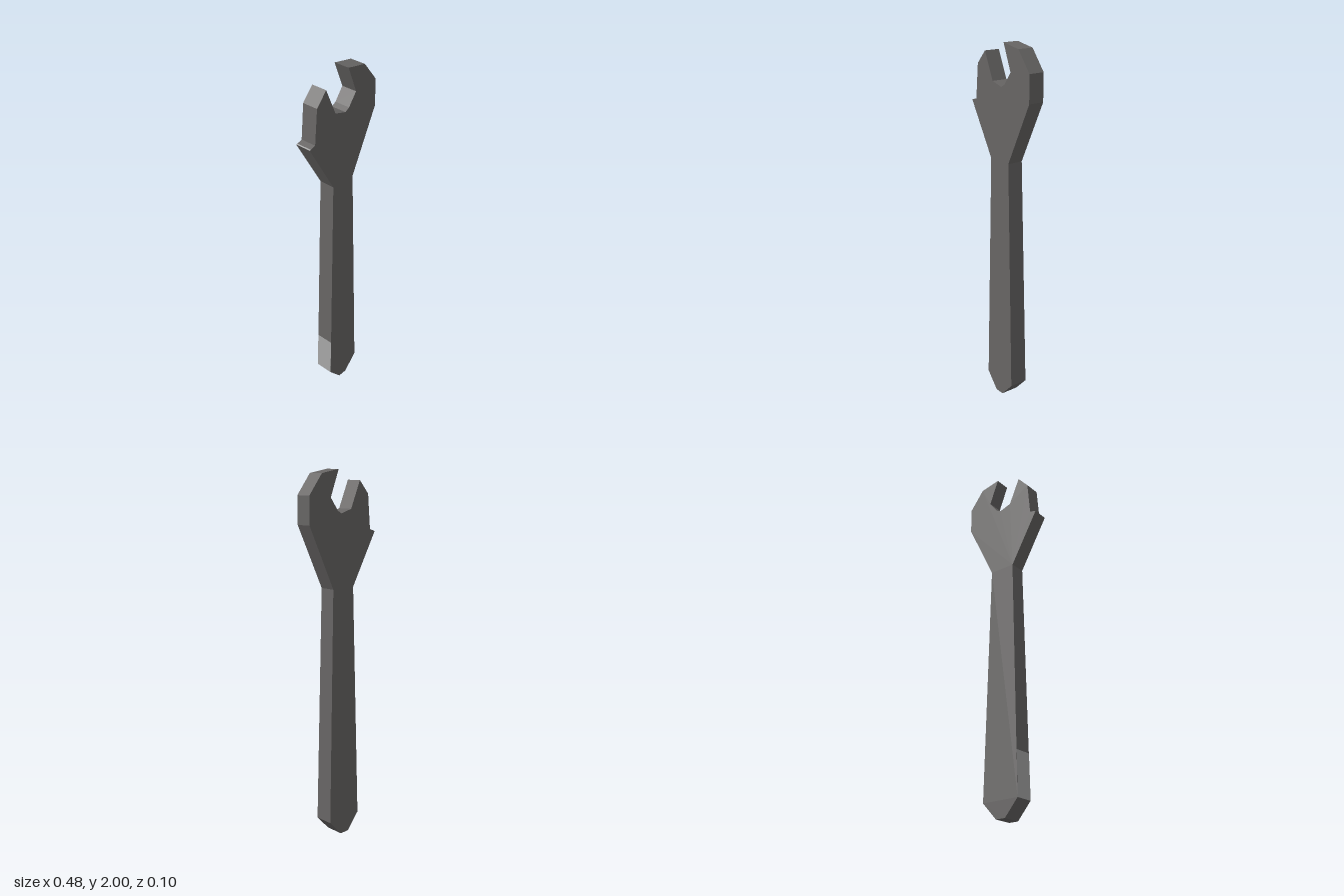
import * as THREE from 'three';

const neckY = 1.39;
const gripY = 0.09;
// 0 at the neck, 1 at the thick end of the handle
const taper = (y) => THREE.MathUtils.clamp((neckY - y) / (neckY - gripY), 0, 1);
const zBack = (y) => -0.043 - 0.01 * taper(y);
const zFront = (y) => 0.045 + 0.005 * taper(y);

// Extrudes an outline into a plate whose thickness follows the taper
function plate(name, outline, material) {
  const shape = new THREE.Shape(outline.map(([x, y]) => new THREE.Vector2(x, y)));
  const geometry = new THREE.ExtrudeGeometry(shape, { depth: 1, bevelEnabled: false });
  const p = geometry.attributes.position;
  for (let i = 0; i < p.count; i++) {
    p.setZ(i, p.getZ(i) > 0.5 ? zFront(p.getY(i)) : zBack(p.getY(i)));
  }
  geometry.computeVertexNormals();
  const mesh = new THREE.Mesh(geometry, material);
  mesh.name = name;
  return mesh;
}

// Thin painted face on the rim, between two points taken counter-clockwise
function rimFace(name, [ax, ay], [bx, by], material) {
  const out = new THREE.Vector2(by - ay, ax - bx).setLength(0.001);
  const corner = (x, y, z) => [x + out.x, y + out.y, z(y)];
  const geometry = new THREE.BufferGeometry();
  geometry.setAttribute('position', new THREE.Float32BufferAttribute([
    ...corner(ax, ay, zBack), ...corner(bx, by, zBack),
    ...corner(bx, by, zFront), ...corner(ax, ay, zFront),
  ], 3));
  geometry.setIndex([0, 1, 2, 0, 2, 3]);
  geometry.computeVertexNormals();
  const mesh = new THREE.Mesh(geometry, material);
  mesh.name = name;
  return mesh;
}

export function createModel() {
  const group = new THREE.Group();
  group.name = 'wrench';
  const steel = new THREE.MeshStandardMaterial({ color: 0x676564, flatShading: true });
  steel.name = 'dark steel';
  const bare = new THREE.MeshStandardMaterial({ color: 0xa6a6a6, flatShading: true });
  bare.name = 'light steel';

  // Rounded-off butt below the grip
  group.add(plate('handleEnd', [
    [-0.03, 0], [0.026, 0], [0.109, gripY], [-0.108, gripY],
  ], steel));

  // Handle narrowing and thinning towards the neck
  group.add(plate('handle', [
    [-0.108, gripY], [0.109, gripY], [0.073, neckY], [-0.074, neckY],
  ], steel));

  // Open jaw with a small spur on its right side
  group.add(plate('jaw', [
    [-0.074, neckY], [0.073, neckY], [0.237, 1.727], [0.237, 1.873],
    [0.151, 1.98], [0.034, 2], [0.09, 1.86], [0.04, 1.793],
    [0.014, 1.778], [-0.057, 1.798], [-0.121, 1.943], [-0.184, 1.872],
    [-0.201, 1.686], [-0.238, 1.674],
  ], steel));

  // Bare metal low on the right edge of the handle and on the spur tip
  group.add(rimFace('handleBarePatch', [-0.1017, 0.33], [-0.108, gripY], bare));
  group.add(rimFace('spurTip', [-0.231, 1.6763], [-0.238, 1.674], bare));

  return group;
}
